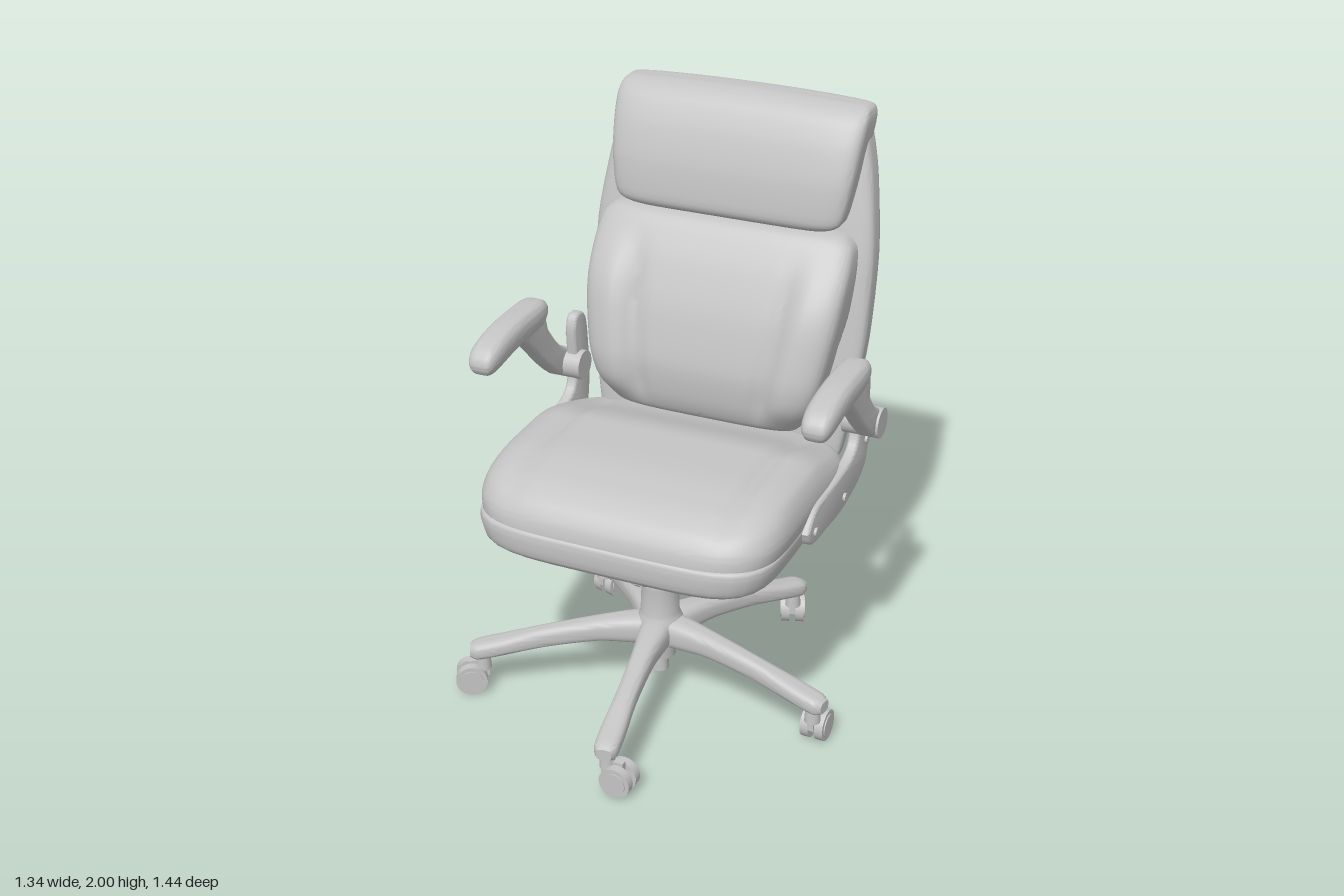
import * as THREE from 'three';
import { toCreasedNormals } from 'three/addons/utils/BufferGeometryUtils.js';

const grey = new THREE.MeshStandardMaterial({ color: 0xc4c4c4 });
grey.name = 'soft grey';

const V = (x, y, z) => new THREE.Vector3(x, y, z);
const smooth = THREE.MathUtils.smoothstep;

function add(parent, name, geo, x = 0, y = 0, z = 0) {
  const m = new THREE.Mesh(geo, grey);
  m.name = name;
  m.position.set(x, y, z);
  parent.add(m);
  return m;
}

// Rounded body from rows [y, halfWidth, zFront, zBack]; n sets how square the sections are
function loft(rows, n = 4, steps = 30, seg = 80, warp = null) {
  const a = new THREE.CatmullRomCurve3(rows.map(r => V(r[0], r[1], r[2])), false, 'catmullrom', 0.4);
  const b = new THREE.CatmullRomCurve3(rows.map(r => V(r[3], 0, 0)), false, 'catmullrom', 0.4);
  const pos = [], idx = [];
  const put = (x, y, z) => {
    const p = V(x, y, z);
    if (warp) warp(p);
    pos.push(p.x, p.y, p.z);
  };
  for (let i = 0; i <= steps; i++) {
    const p = a.getPoint(i / steps), back = b.getPoint(i / steps).x;
    const cz = (p.z + back) / 2, hz = (p.z - back) / 2;
    for (let j = 0; j < seg; j++) {
      const t = j / seg * Math.PI * 2, c = Math.cos(t), s = Math.sin(t);
      const r = (Math.abs(c) ** n + Math.abs(s) ** n) ** (-1 / n);
      put(p.y * r * c, p.x, cz + hz * r * s);
    }
  }
  for (let i = 0; i < steps; i++) for (let j = 0; j < seg; j++) {
    const k = (j + 1) % seg, p = i * seg + j, q = i * seg + k;
    idx.push(p, p + seg, q, q, p + seg, q + seg);
  }
  // end caps
  const first = rows[0], last = rows[rows.length - 1], c0 = (steps + 1) * seg;
  put(0, first[0], (first[2] + first[3]) / 2);
  put(0, last[0], (last[2] + last[3]) / 2);
  for (let j = 0; j < seg; j++) {
    const k = (j + 1) % seg;
    idx.push(c0, j, k, c0 + 1, steps * seg + k, steps * seg + j);
  }
  const g = new THREE.BufferGeometry();
  g.setAttribute('position', new THREE.Float32BufferAttribute(pos, 3));
  g.setIndex(idx);
  return toCreasedNormals(g, 0.8);
}

// Side profile of [z, y] points extruded across x, centred on x = 0
function sidePlate(pts, width, curved, bevel = 0.01) {
  const v = pts.map(p => new THREE.Vector2(p[0], p[1]));
  const shape = new THREE.Shape();
  if (curved) {
    shape.moveTo(v[0].x, v[0].y);
    shape.splineThru([...v.slice(1), v[0]]);
  } else shape.setFromPoints(v);
  const depth = width - 2 * bevel;
  const g = new THREE.ExtrudeGeometry(shape, {
    depth, curveSegments: 40, bevelThickness: bevel, bevelSize: bevel, bevelOffset: -bevel, bevelSegments: 3,
  });
  g.translate(0, 0, -depth / 2);
  g.rotateY(-Math.PI / 2);
  return toCreasedNormals(g, 0.7);
}

const lathe = pts => toCreasedNormals(
  new THREE.LatheGeometry(pts.map(p => new THREE.Vector2(p[0], p[1])), 40), 0.6);
const tube = (pts, r) => new THREE.TubeGeometry(new THREE.CatmullRomCurve3(pts), 32, r, 8);
const axle = (r, w) => new THREE.CylinderGeometry(r, r, w, 28).rotateZ(Math.PI / 2);

function makeSeat(top) {
  add(top, 'seatBase', loft([
    [0.69, 0.42, 0.47, -0.36], [0.698, 0.465, 0.505, -0.38], [0.725, 0.505, 0.535, -0.395],
    [0.77, 0.522, 0.542, -0.395], [0.81, 0.524, 0.537, -0.39], [0.825, 0.49, 0.5, -0.36],
  ], 5.5));
  add(top, 'seatCushion', loft([
    [0.79, 0.5, 0.51, -0.35], [0.805, 0.523, 0.533, -0.375], [0.86, 0.533, 0.522, -0.38],
    [0.91, 0.522, 0.485, -0.37], [0.95, 0.496, 0.41, -0.35], [0.973, 0.44, 0.31, -0.31],
    [0.982, 0.33, 0.24, -0.24], [0.985, 0.16, 0.16, -0.1], [0.985, 0.01, 0.06, 0.04],
  ], 5, 48, 120, p => {
    const k = Math.max(0, (p.y - 0.84) / 0.145);
    p.y -= k * 0.085 * (1 - smooth(p.z, -0.32, 0.02));          // falls toward the backrest
    p.y -= k * 0.014 * Math.exp(-(((Math.abs(p.x) - 0.37) / 0.025) ** 2)); // side seams
  }));
}

function makeBack(top) {
  add(top, 'backShell', loft([
    [0.785, 0.42, -0.385, -0.45], [0.8, 0.45, -0.375, -0.468], [0.95, 0.475, -0.385, -0.5],
    [1.2, 0.505, -0.42, -0.55], [1.5, 0.507, -0.465, -0.61], [1.75, 0.475, -0.52, -0.66],
    [1.88, 0.445, -0.55, -0.683], [1.95, 0.42, -0.58, -0.68],
  ], 5));
  add(top, 'headrest', loft([
    [1.585, 0.3, -0.47, -0.55], [1.59, 0.355, -0.435, -0.57], [1.625, 0.408, -0.415, -0.585],
    [1.75, 0.433, -0.43, -0.625], [1.87, 0.444, -0.468, -0.67], [1.95, 0.448, -0.51, -0.698],
    [1.985, 0.442, -0.55, -0.69], [1.998, 0.425, -0.59, -0.665], [2.0, 0.39, -0.615, -0.635],
  ], 6.5, 36, 120, p => { p.y -= 0.06 * Math.abs(p.x) ** 2 * smooth(p.y, 1.8, 2); }));
  add(top, 'lumbarCushion', loft([
    [0.9, 0.3, -0.29, -0.4], [0.93, 0.34, -0.24, -0.42], [1.0, 0.385, -0.215, -0.44],
    [1.12, 0.425, -0.21, -0.46], [1.3, 0.455, -0.255, -0.5], [1.45, 0.463, -0.32, -0.54],
    [1.54, 0.455, -0.375, -0.56], [1.578, 0.42, -0.41, -0.56], [1.59, 0.36, -0.45, -0.55],
  ], 4, 40, 140, p => {
    if (p.z < -0.43) return;
    const seam = 0.21 + 0.13 * (p.y - 0.95), d = Math.abs(p.x) - seam;
    const k = smooth(p.y, 0.92, 1.05) * (1 - smooth(p.y, 1.35, 1.56));
    p.z += k * (0.035 * smooth(d, 0, 0.09) - 0.012 * Math.exp(-((d / 0.02) ** 2)));
  }));
}

function makeArm(top, side) {
  const arm = new THREE.Group();
  arm.name = side > 0 ? 'leftArm' : 'rightArm';
  top.add(arm);
  add(arm, 'armBracket', sidePlate([
    [0.165, 0.8], [0.125, 0.745], [-0.02, 0.73], [-0.185, 0.725], [-0.365, 0.77], [-0.42, 0.87], [-0.405, 1.13],
    [-0.345, 1.18], [-0.31, 1.13], [-0.315, 0.95], [-0.255, 0.88], [-0.08, 0.865], [0.09, 0.86],
  ], 0.04, true), side * 0.53);
  for (const [z, y] of [[0.105, 0.785], [-0.175, 0.77], [-0.385, 0.89], [-0.345, 1.1]])
    add(arm, 'bolt', axle(0.015, 0.012), side * 0.553, y, z);
  add(arm, 'armPivot', axle(0.053, 0.13), side * 0.555, 0.985, -0.34);
  add(arm, 'armStrut', sidePlate([
    [0.255, 1.235], [0.25, 1.205], [0.14, 1.195], [0.0, 1.2], [-0.08, 1.14], [-0.18, 1.04], [-0.29, 0.955],
    [-0.38, 0.96], [-0.38, 1.01], [-0.28, 1.08], [-0.2, 1.17], [-0.16, 1.235], [0, 1.25],
  ], 0.06, true, 0.015), side * 0.582);
  add(arm, 'armPad', loft([
    [1.215, 0.03, 0.22, -0.14], [1.222, 0.046, 0.245, -0.165], [1.255, 0.055, 0.26, -0.18],
    [1.285, 0.052, 0.25, -0.175], [1.305, 0.036, 0.21, -0.14], [1.31, 0.005, 0.06, 0.04],
  ], 5, 20, 64, p => { p.y -= 0.55 * Math.max(0, p.z) ** 2; }), side * 0.583);
}

function makeMechanism(top) {
  add(top, 'tiltHousing', sidePlate([
    [0.26, 0.7], [0.19, 0.65], [0.14, 0.62], [-0.02, 0.62], [-0.08, 0.65], [-0.16, 0.7],
  ], 0.15, false), -0.025);
  // four-pointed mounting plate with hollow sides
  const star = new THREE.Shape();
  const tips = [[0.21, 0.22], [-0.21, 0.22], [-0.21, -0.22], [0.21, -0.22]];
  star.moveTo(0.21, 0.17);
  for (const [x, y] of tips) {
    const sx = Math.sign(x), sy = Math.sign(y);
    star.lineTo(x, y);
    star.lineTo(x - sx * 0.06, y);
    if (sx * sy > 0) star.quadraticCurveTo(0, sy * 0.06, -x + sx * 0.06, y);
    else star.lineTo(x, y), star.lineTo(x, y - sy * 0.05), star.quadraticCurveTo(sx * 0.06, 0, x, -y + sy * 0.05);
  }
  add(top, 'mountingPlate',
    new THREE.ExtrudeGeometry(star, { depth: 0.02, bevelEnabled: false }).rotateX(Math.PI / 2), -0.025, 0.695, 0.06);
  add(top, 'lever', tube([V(-0.08, 0.66, 0.2), V(-0.22, 0.665, 0.25), V(-0.42, 0.675, 0.31)], 0.008));
  const paddle = add(top, 'leverPaddle', new THREE.BoxGeometry(0.08, 0.018, 0.05), -0.43, 0.668, 0.315);
  paddle.rotation.z = 0.4;
  add(top, 'cable', tube([V(-0.08, 0.64, -0.08), V(-0.13, 0.61, -0.1), V(-0.14, 0.56, -0.07),
    V(-0.11, 0.53, -0.02), V(-0.08, 0.56, 0.02), V(-0.07, 0.64, 0.03)], 0.006));
  add(top, 'tensionKnob', lathe([[0, 0.505], [0.045, 0.505], [0.052, 0.515], [0.046, 0.6], [0.025, 0.615], [0.025, 0.65]]), -0.025, 0, 0.19);
  for (let i = 0; i < 10; i++) {
    const a = i / 10 * Math.PI * 2;
    add(top, 'knobRib', new THREE.CylinderGeometry(0.008, 0.008, 0.08, 8),
      -0.025 + 0.047 * Math.cos(a), 0.552, 0.19 + 0.047 * Math.sin(a));
  }
}

function makeCaster(base, x, z, dx, dz) {
  const c = new THREE.Group();
  c.name = 'caster';
  c.position.set(x, 0, z);
  c.rotation.y = Math.atan2(dx, dz);
  base.add(c);
  add(c, 'casterStem', new THREE.CylinderGeometry(0.024, 0.028, 0.07, 20), 0, 0.125, 0);
  for (const s of [-1, 1]) {
    add(c, 'wheel', axle(0.055, 0.03), s * 0.026, 0.056, 0.042);
    add(c, 'wheelCap', axle(0.04, 0.006), s * 0.042, 0.056, 0.042);
  }
  add(c, 'wheelAxle', axle(0.02, 0.05), 0, 0.056, 0.042);
  add(c, 'casterHood', new THREE.BoxGeometry(0.022, 0.06, 0.08), 0, 0.09, 0.02);
}

function makeBase(root) {
  const base = new THREE.Group();
  base.name = 'base';
  base.position.z = 0.055;
  root.add(base);
  add(base, 'column', lathe([
    [0, 0.075], [0.03, 0.075], [0.03, 0.13], [0.055, 0.14], [0.06, 0.19], [0.085, 0.21], [0.088, 0.27], [0.072, 0.305],
    [0.068, 0.32], [0.064, 0.42], [0.066, 0.435], [0.058, 0.455], [0.05, 0.46], [0.05, 0.6], [0.04, 0.6], [0.04, 0.66],
  ]));
  const legGeo = loft([
    [0.02, 0.06, -0.19, -0.3], [0.1, 0.052, -0.195, -0.298], [0.22, 0.04, -0.2, -0.283], [0.4, 0.036, -0.178, -0.25],
    [0.56, 0.042, -0.147, -0.212], [0.635, 0.04, -0.133, -0.195], [0.662, 0.026, -0.14, -0.182],
  ], 3, 24, 32).rotateX(Math.PI / 2);
  // trailing direction of each caster
  const trail = [[1, 0.1], [0.1, -1], [-0.3, -1], [0.35, -1], [-0.9, 0.4]];
  trail.forEach(([dx, dz], i) => {
    const a = (4.5 + i * 72) * Math.PI / 180;
    add(base, 'leg', legGeo).rotation.y = a;
    makeCaster(base, 0.618 * Math.sin(a), 0.618 * Math.cos(a), dx, dz);
  });
}

export function createModel() {
  const root = new THREE.Group();
  root.name = 'officeChair';
  makeBase(root);
  // upper chair is swivelled slightly on its column
  const top = new THREE.Group();
  top.name = 'upperChair';
  top.position.x = 0.025;
  top.rotation.y = -0.06;
  root.add(top);
  makeSeat(top);
  makeBack(top);
  makeArm(top, 1);
  makeArm(top, -1);
  makeMechanism(top);
  return root;
}
